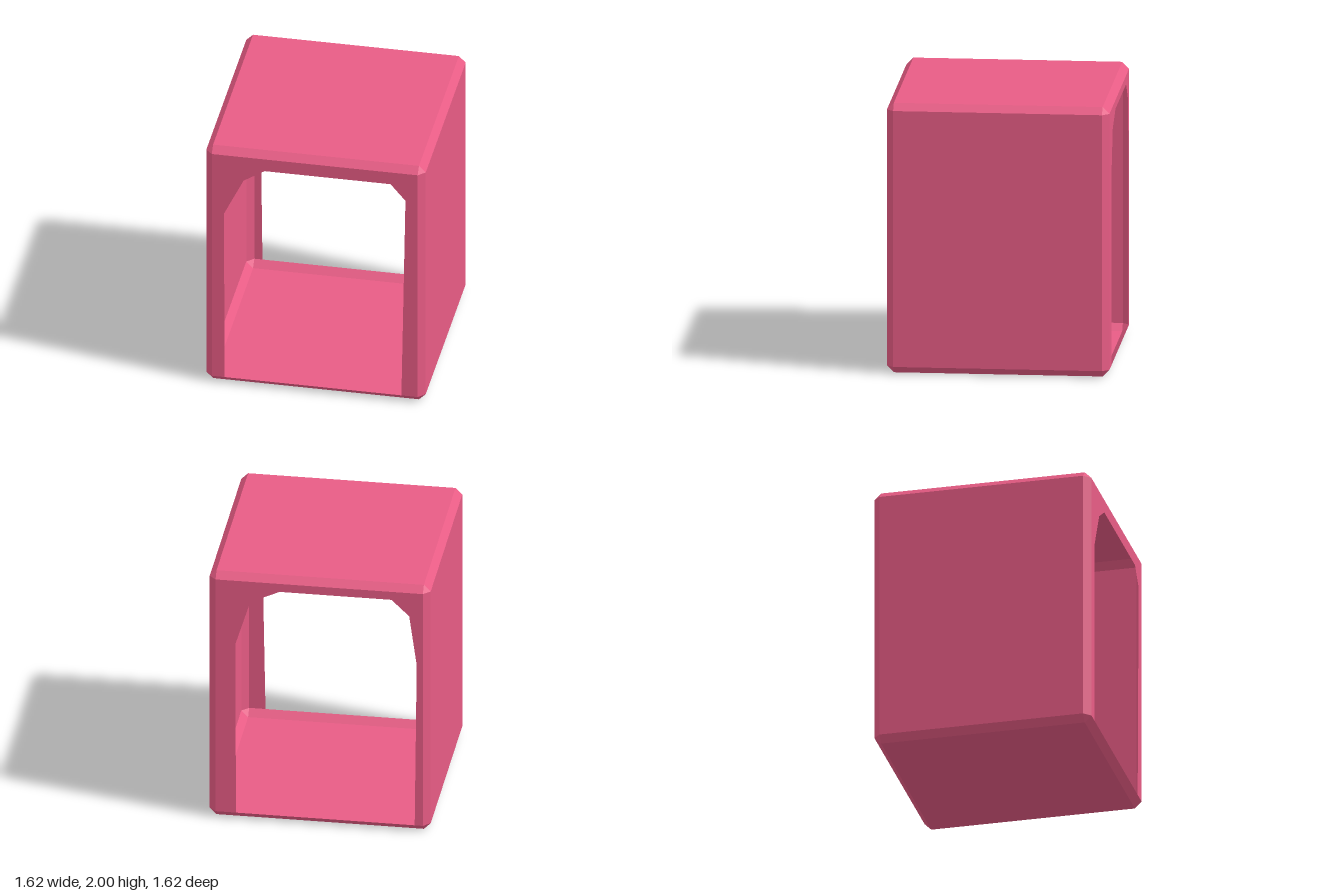
import * as THREE from 'three';

const R = 0.81, C = 0.05;              // half width/depth, chamfer
const HALF = [R, 1, R];                // half extents
const IN = HALF.map((h) => h - C);     // half extents of the flat faces

const material = new THREE.MeshStandardMaterial({ color: 0xe85c85, flatShading: true, side: THREE.DoubleSide });

function addMesh(group, geometry, name) {
  const mesh = new THREE.Mesh(geometry, material);
  mesh.name = name;
  group.add(mesh);
  return mesh;
}

// Flat convex panel about the box centre, wound to face outwards
function panel(points) {
  const p = points.map((q) => new THREE.Vector3(...q));
  const normal = p[1].clone().sub(p[0]).cross(p[2].clone().sub(p[0]));
  if (normal.dot(p[0]) < 0) p.reverse();
  const corners = [];
  for (let i = 1; i < p.length - 1; i++) corners.push(p[0], p[i], p[i + 1]);
  const geometry = new THREE.BufferGeometry().setFromPoints(corners);
  geometry.computeVertexNormals();
  return geometry.translate(0, 1, 0);
}

// Arch-shaped frame: outer rectangle with an opening down to its lower edge
function frame(opening) {
  const outer = [[IN[0], C], [IN[0], 2 - C], [-IN[0], 2 - C], [-IN[0], C]];
  return new THREE.ShapeGeometry(new THREE.Shape([...outer, ...opening].map((q) => new THREE.Vector2(...q))));
}

export function createModel() {
  const model = new THREE.Group();
  model.name = 'openShelter';

  // Front and back frames, each with its own uneven opening
  const front = frame([[-0.665, C], [-0.67, 1.45], [-0.525, 1.75], [-0.37, 1.85],
    [0.56, 1.85], [0.67, 1.72], [0.64, C]]);
  addMesh(model, front.translate(0, 0, R), 'frontFrame');
  const back = frame([[-0.61, C], [-0.615, 1.43], [-0.505, 1.785], [-0.29, 1.885],
    [0.53, 1.885], [0.66, 1.76], [0.715, 1.365], [0.70, C]]);
  addMesh(model, back.rotateY(Math.PI).translate(0, 0, -R), 'backFrame');

  // Side walls, roof and floor
  const wallNames = [['rightWall', 'leftWall'], ['floor', 'roof']];
  for (const axis of [0, 1]) {
    [-1, 1].forEach((s, i) => {
      const b = (axis + 1) % 3, c = (axis + 2) % 3;
      const points = [[1, 1], [-1, 1], [-1, -1], [1, -1]].map(([u, v]) => {
        const q = [0, 0, 0];
        q[axis] = s * HALF[axis]; q[b] = u * IN[b]; q[c] = v * IN[c];
        return q;
      });
      addMesh(model, panel(points), wallNames[axis][i]);
    });
  }

  // Chamfer strips along the twelve edges
  for (let axis = 0; axis < 3; axis++) {
    const b = (axis + 1) % 3, c = (axis + 2) % 3;
    for (const s of [-1, 1]) for (const t of [-1, 1]) {
      const point = (along, pb, pc) => {
        const q = [0, 0, 0];
        q[axis] = along * IN[axis]; q[b] = s * pb; q[c] = t * pc;
        return q;
      };
      addMesh(model, panel([
        point(-1, HALF[b], IN[c]), point(1, HALF[b], IN[c]),
        point(1, IN[b], HALF[c]), point(-1, IN[b], HALF[c]),
      ]), 'edgeChamfer');
    }
  }

  // Triangles closing the eight corners
  for (const x of [-1, 1]) for (const y of [-1, 1]) for (const z of [-1, 1]) {
    addMesh(model, panel([
      [x * HALF[0], y * IN[1], z * IN[2]],
      [x * IN[0], y * HALF[1], z * IN[2]],
      [x * IN[0], y * IN[1], z * HALF[2]],
    ]), 'cornerChamfer');
  }
  return model;
}
